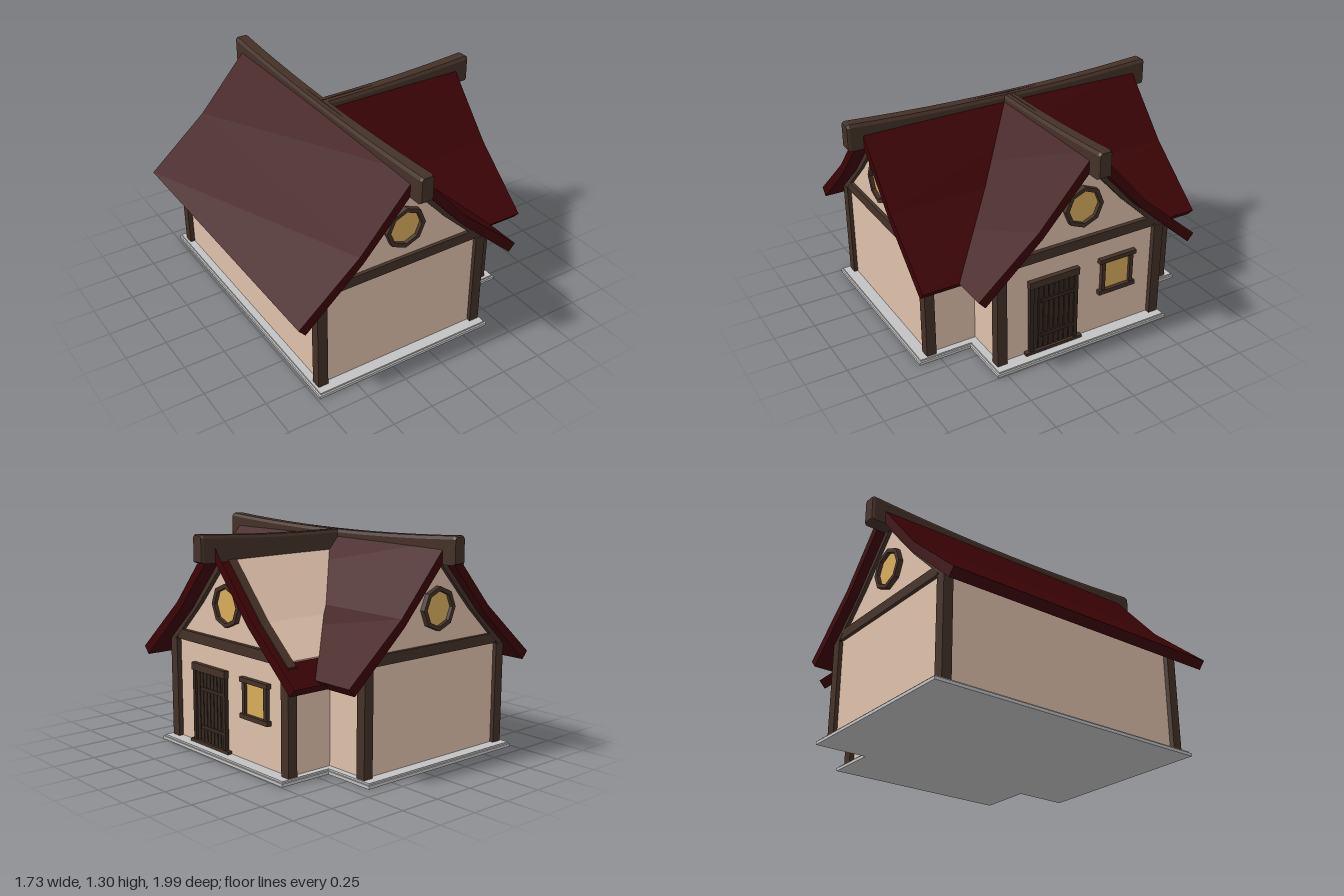
import * as THREE from 'three';

const mat = (name, color) => {
  const m = new THREE.MeshStandardMaterial({ color });
  m.name = name;
  return m;
};

export function createModel() {
  const plaster = mat('plaster', 0xdfc1ab);
  const timber = mat('timber', 0x443127);
  const roofRed = mat('roof red', 0x3c0305);
  roofRed.side = THREE.DoubleSide;
  const glass = mat('amber glass', 0xd8ad5c);
  const stone = mat('stone', 0xc2c2c2);
  const doorWood = mat('door wood', 0x35271f);

  const house = new THREE.Group();
  house.name = 'house';

  const add = (parent, name, geo, material) => {
    const mesh = new THREE.Mesh(geo, material);
    mesh.name = name;
    parent.add(mesh);
    return mesh;
  };
  const box = (parent, name, material, x0, x1, y0, y1, z0, z1) => {
    const mesh = add(parent, name, new THREE.BoxGeometry(x1 - x0, y1 - y0, z1 - z0), material);
    mesh.position.set((x0 + x1) / 2, (y0 + y1) / 2, (z0 + z1) / 2);
  };
  const outline = (points) => new THREE.Shape(points.map(([x, y]) => new THREE.Vector2(x, y)));
  const prism = (points, z0, z1) =>
    new THREE.ExtrudeGeometry(outline(points), { depth: z1 - z0, bevelEnabled: false }).translate(0, 0, z0);
  const mirror = (points, side) => points.map(([x, y]) => [x * side, y]);

  // Half-profiles of the kinked roof, measured from the ridge line
  const slopeTop = [[0, 1.27], [0.345, 0.88], [0.715, 0.562]];
  const slopeUnder = [[0.675, 0.517], [0.325, 0.83], [0, 1.19]];
  const rafterHalf = [[0, 1.2], [0.325, 0.84], [0.555, 0.634], [0.515, 0.622], [0.255, 0.868], [0, 1.147]];
  const wallHalf = [[0.525, 0.02], [0.525, 0.658], [0.325, 0.836]];

  // Ridge beam with chamfered edges, bevelled tips and upswept ends
  function ridgeBeam(parent, z0, z1) {
    const w = 0.043, bevel = 0.014;
    const section = outline([[-w, 1.135], [w, 1.135], [w, 1.25], [w - 0.012, 1.268], [0.012 - w, 1.268], [-w, 1.25]]);
    const geo = new THREE.ExtrudeGeometry(section, {
      depth: z1 - z0 - 2 * bevel, steps: 12,
      bevelThickness: bevel, bevelSize: 0.008, bevelOffset: -0.008, bevelSegments: 1,
    }).translate(0, 0, z0 + bevel);
    const p = geo.attributes.position;
    const reach = Math.max(Math.abs(z0), Math.abs(z1));
    for (let i = 0; i < p.count; i++) {
      const t = p.getZ(i) / reach;
      const lift = p.getY(i) > 1.2 ? 0.033 : 0.008;
      p.setXY(i, p.getX(i) * (0.9 + 0.12 * t * t), p.getY(i) + lift * t * t);
    }
    geo.computeVertexNormals();
    add(parent, 'ridgeBeam', geo, timber);
  }

  // Timber frame and round window of one gable end; dir is the way it faces
  function gableEnd(parent, outer, face, dir) {
    const end = new THREE.Group();
    end.name = 'gableEnd';
    parent.add(end);
    const a = Math.min(outer, outer - dir * 0.06), b = a + 0.06;
    for (const s of [-1, 1]) {
      const x = s * 0.524;
      box(end, 'cornerPost', timber, x - 0.031, x + 0.031, 0.025, 0.63, a, b);
      add(end, 'rafter', prism(mirror(rafterHalf, s), a + 0.002, b - 0.002), timber);
    }
    box(end, 'tieBeam', timber, -0.488, 0.488, 0.633, 0.693, a + 0.003, b - 0.003);

    const ring = (r) => Array.from({ length: 8 }, (_, i) => [Math.cos(i * Math.PI / 4) * r, Math.sin(i * Math.PI / 4) * r]);
    const frame = outline(ring(0.125));
    frame.holes.push(outline(ring(0.1)));
    const win = new THREE.Group();
    win.name = 'roundWindow';
    win.position.set(0, 0.89, face);
    if (dir < 0) win.rotation.y = Math.PI;
    end.add(win);
    add(win, 'roundFrame', new THREE.ExtrudeGeometry(frame, { depth: 0.03, bevelEnabled: false }), timber);
    add(win, 'roundPane', new THREE.ShapeGeometry(outline(ring(0.102))).translate(0, 0, 0.008), glass);
  }

  // Roof slope left open on top: underside and eave strips plus the end cap
  function openSlope(parent, z0, z1) {
    const path = [...slopeUnder].reverse().concat([slopeTop[2]]);
    const pos = [];
    for (let i = 0; i < path.length - 1; i++) {
      const [ax, ay] = path[i], [bx, by] = path[i + 1];
      pos.push(ax, ay, z0, bx, by, z0, bx, by, z1, ax, ay, z0, bx, by, z1, ax, ay, z1);
    }
    const sheet = new THREE.BufferGeometry();
    sheet.setAttribute('position', new THREE.Float32BufferAttribute(pos, 3));
    sheet.computeVertexNormals();
    add(parent, 'roofUnderside', sheet, roofRed);
    const cap = new THREE.ShapeGeometry(outline([...slopeTop, ...slopeUnder])).translate(0, 0, z1);
    add(parent, 'roofEndCap', cap, roofRed);
  }

  // Gabled block with its ridge along local z
  function block(name, wall, roof, beam, open) {
    const g = new THREE.Group();
    g.name = name;
    house.add(g);
    const left = mirror(wallHalf, -1).reverse();
    add(g, 'walls', prism([...wallHalf, [0, 1.196], ...left], wall[0], wall[1]), plaster);
    const slope = [...slopeTop, ...slopeUnder];
    add(g, 'roofSlope', prism(mirror(slope, -1), roof[0], roof[1]), roofRed);
    if (open) openSlope(g, roof[0], roof[1]);
    else add(g, 'roofSlope', prism(slope, roof[0], roof[1]), roofRed);
    ridgeBeam(g, beam[0], beam[1]);
    return g;
  }

  const main = block('mainBlock', [-0.838, 0.8], [-0.915, 0.905], [-1, 0.995], false);
  main.position.x = -0.155;
  gableEnd(main, 0.824, 0.8, 1);
  gableEnd(main, -0.862, -0.838, -1);

  const wing = block('sideWing', [-0.155, 0.658], [-0.155, 0.775], [-0.135, 0.863], true);
  wing.rotation.y = Math.PI / 2;
  wing.position.z = -0.028;
  gableEnd(wing, 0.688, 0.658, 1);

  // Stepped stone plinth
  const plinth = (i, y0, y1) => {
    const points = [[-0.735 + i, -0.88 + i], [0.42 - i, -0.88 + i], [0.42 - i, -0.555 + i], [0.745 - i, -0.555 + i],
      [0.745 - i, 0.6 - i], [0.42 - i, 0.6 - i], [0.42 - i, 0.92 - i], [-0.735 + i, 0.92 - i]];
    add(house, 'plinth', prism(points, y0, y1).rotateX(-Math.PI / 2), stone);
  };
  plinth(0, 0, 0.018);
  plinth(0.01, 0.018, 0.028);

  // Plank door on the wing
  const door = new THREE.Group();
  door.name = 'door';
  house.add(door);
  const X = 0.656;
  box(door, 'doorBack', doorWood, X, X + 0.008, 0.03, 0.47, 0, 0.31);
  for (let i = 0; i < 8; i++) {
    const z = 0.018 + i * 0.034;
    box(door, 'plank', doorWood, X, X + 0.016, 0.045, 0.465, z, z + 0.028);
  }
  for (const y of [0.125, 0.355]) box(door, 'batten', doorWood, X, X + 0.024, y, y + 0.022, 0.02, 0.24);
  for (const z of [-0.005, 0.288]) box(door, 'jamb', doorWood, X, X + 0.026, 0.03, 0.47, z, z + 0.025);
  box(door, 'lintel', timber, X, X + 0.032, 0.468, 0.512, -0.01, 0.318);
  box(door, 'sill', timber, X, X + 0.032, 0.026, 0.045, -0.035, 0.34);

  // Square window on the wing
  const win = new THREE.Group();
  win.name = 'squareWindow';
  house.add(win);
  box(win, 'pane', glass, X, X + 0.009, 0.29, 0.485, -0.37, -0.18);
  for (const y of [0.275, 0.483]) box(win, 'rail', timber, X, X + 0.032, y, y + 0.027, -0.4, -0.15);
  for (const z of [-0.385, -0.192]) box(win, 'stile', timber, X, X + 0.026, 0.29, 0.49, z, z + 0.024);

  return house;
}
